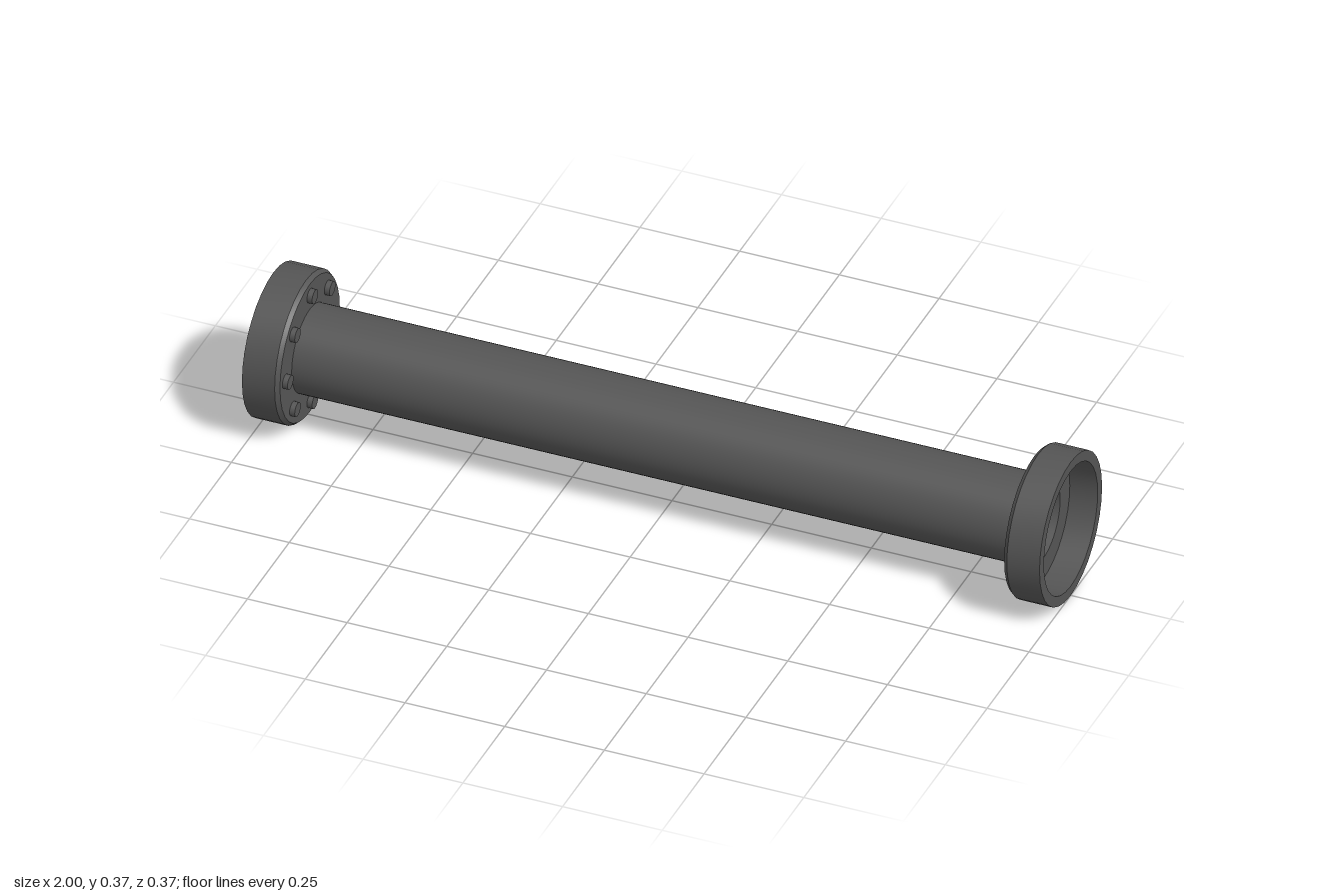
import * as THREE from 'three';
import { toCreasedNormals } from 'three/addons/utils/BufferGeometryUtils.js';

const AXIS_Y = 0.187;
const material = new THREE.MeshStandardMaterial({ color: 0x555555 });

// Closed ring turned around the y axis; profile runs up the outside, down the inside
function turned(name, profile, sides) {
  const points = [...profile, profile[0]].map(([r, y]) => new THREE.Vector2(r, y));
  const geometry = toCreasedNormals(new THREE.LatheGeometry(points, sides), 0.5);
  const mesh = new THREE.Mesh(geometry, material);
  mesh.name = name;
  return mesh;
}

// Cup-shaped end flange with a bevelled inner edge and a recessed mouth
function makeFlange(name) {
  return turned(name, [
    [0.105, 0.908], [0.179, 0.908], [0.187, 0.918], [0.187, 1],
    [0.161, 1], [0.161, 0.93], [0.105, 0.93],
  ], 32);
}

export function createModel() {
  const model = new THREE.Group();
  model.name = 'flangedPipe';

  // Hollow pipe
  const pipe = turned('pipe', [
    [0.101, -0.931], [0.109, -0.931], [0.109, 0.931], [0.101, 0.931],
  ], 48);
  pipe.rotation.z = -Math.PI / 2;
  pipe.position.y = AXIS_Y;
  model.add(pipe);

  // Plain flange on the left end
  const leftFlange = makeFlange('leftFlange');
  leftFlange.rotation.z = -Math.PI / 2;
  leftFlange.position.y = AXIS_Y;
  model.add(leftFlange);

  // Bolted flange on the right end
  const boltedEnd = new THREE.Group();
  boltedEnd.name = 'boltedEnd';
  boltedEnd.add(makeFlange('rightFlange'));
  const boltGeometry = new THREE.CylinderGeometry(0.018, 0.018, 0.02, 16);
  for (let i = 0; i < 8; i++) {
    const angle = (i * Math.PI) / 4;
    const bolt = new THREE.Mesh(boltGeometry, material);
    bolt.name = 'bolt';
    bolt.position.set(0.147 * Math.cos(angle), 0.905, 0.147 * Math.sin(angle));
    boltedEnd.add(bolt);
  }
  boltedEnd.rotation.z = Math.PI / 2;
  boltedEnd.position.y = AXIS_Y;
  model.add(boltedEnd);

  return model;
}
